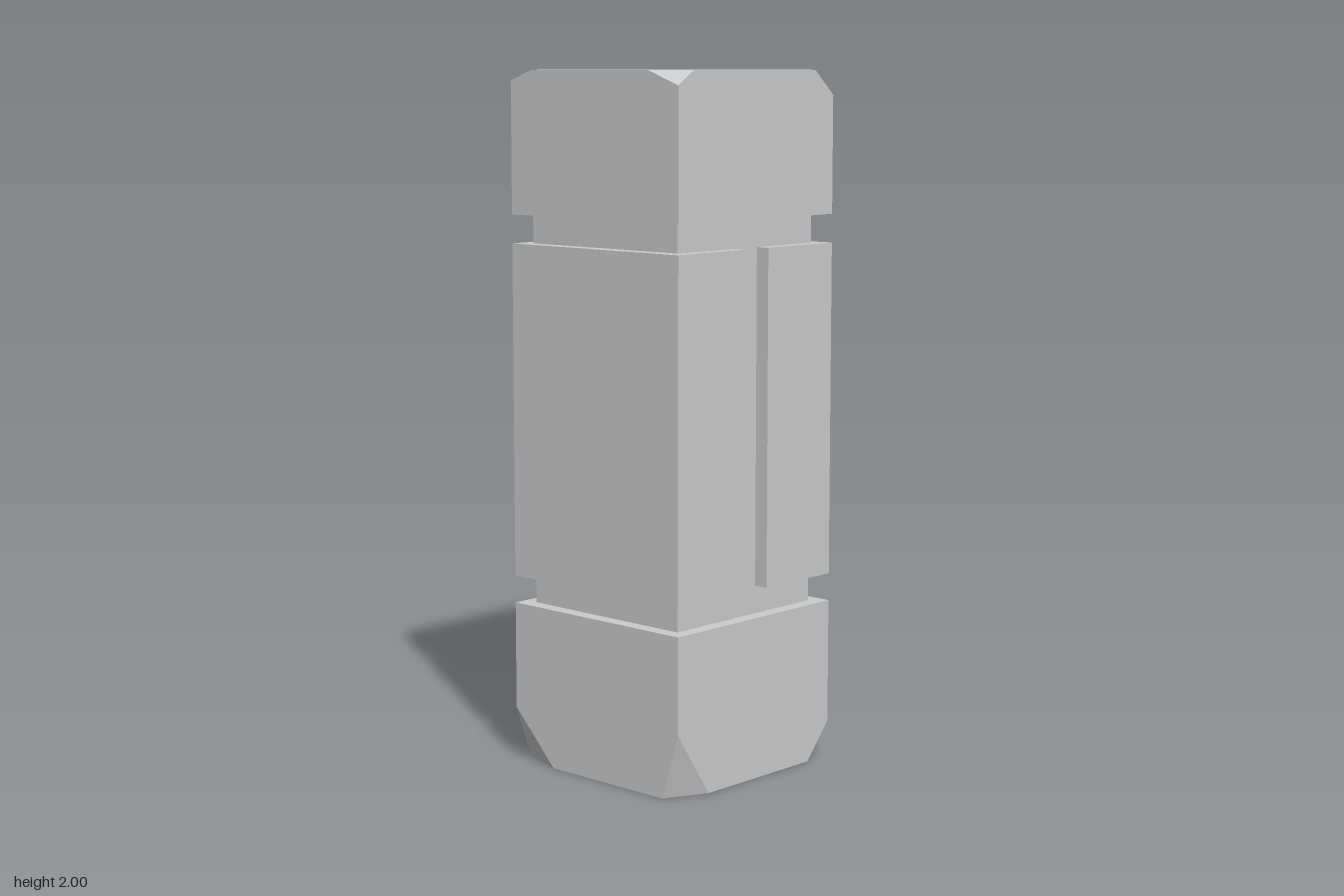
import * as THREE from 'three';
import { ConvexGeometry } from 'three/addons/geometries/ConvexGeometry.js';

const HALF = 0.3225; // half width of the pillar
const CORE = 0.28;   // half width of the recessed core

// Block whose outer corners are chipped off.
// Each chip: [sign x, sign z, cut along x, cut along y, cut along z]
function chippedBlock(name, yOuter, yInner, chips, material) {
  const up = Math.sign(yOuter - yInner);
  const points = [];
  for (const [sx, sz, cx, cy, cz] of chips) {
    const x = sx * HALF, z = sz * HALF;
    points.push(
      new THREE.Vector3(x, yInner, z),
      new THREE.Vector3(x - sx * cx, yOuter, z),
      new THREE.Vector3(x, yOuter - up * cy, z),
      new THREE.Vector3(x, yOuter, z - sz * cz)
    );
  }
  const mesh = new THREE.Mesh(new ConvexGeometry(points), material);
  mesh.name = name;
  return mesh;
}

export function createModel() {
  const group = new THREE.Group();
  group.name = 'stonePillar';
  const material = new THREE.MeshStandardMaterial({ color: 0xcccccc, flatShading: true });

  // Chipped end blocks
  group.add(chippedBlock('topBlock', 2, 1.593, [
    [-1, 1, 0.06, 0.04, 0.11],
    [1, 1, 0.08, 0.07, 0.09],
    [1, -1, 0.084, 0.045, 0.067],
    [-1, -1, 0.113, 0.03, 0.083],
  ], material));
  group.add(chippedBlock('bottomBlock', 0, 0.467, [
    [-1, 1, 0.125, 0.19, 0.06],
    [1, 1, 0.09, 0.105, 0.115],
    [1, -1, 0.17, 0.07, 0.04],
    [-1, -1, 0.055, 0.155, 0.153],
  ], material));

  // Recessed core, seen in the two bands and the front groove
  const core = new THREE.Mesh(new THREE.BoxGeometry(CORE * 2, 1.3, CORE * 2), material);
  core.position.y = 1.03;
  core.name = 'core';
  group.add(core);

  // Middle block with a vertical groove in the front, extruded upwards
  const y0 = 0.547, y1 = 1.511, g = 0.045, depth = 0.2;
  const outline = new THREE.Shape([
    [-HALF, HALF], [HALF, HALF], [HALF, -HALF], [g, -HALF],
    [g, -depth], [-g, -depth], [-g, -HALF], [-HALF, -HALF],
  ].map(([x, y]) => new THREE.Vector2(x, y)));
  const geometry = new THREE.ExtrudeGeometry(outline, { depth: y1 - y0, bevelEnabled: false });
  geometry.rotateX(-Math.PI / 2);
  const middle = new THREE.Mesh(geometry, material);
  middle.position.y = y0;
  middle.name = 'middleBlock';
  group.add(middle);

  return group;
}
